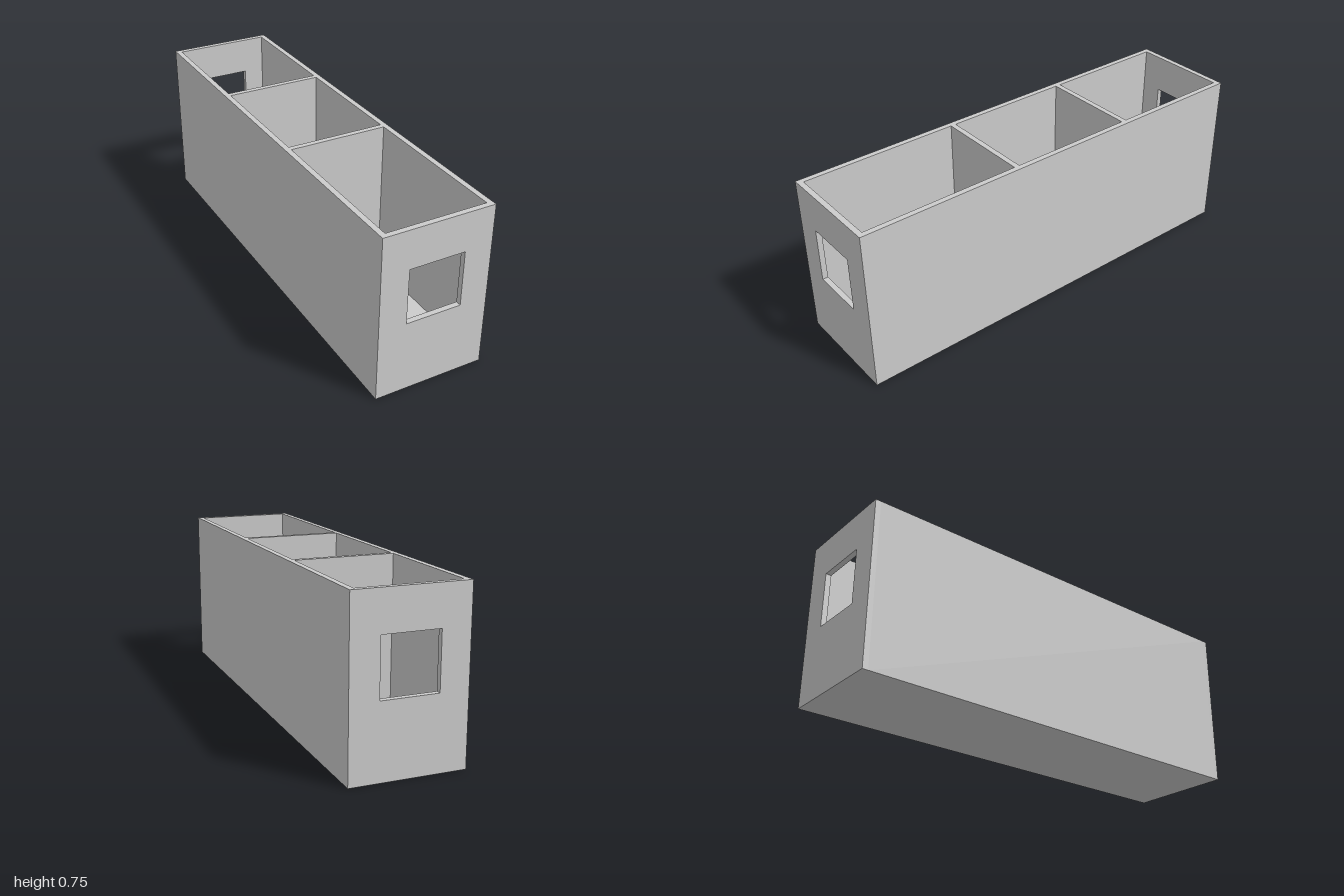
import * as THREE from 'three';

const W = 0.5, H = 0.75, L = 2, T = 0.025;

export function createModel() {
  const model = new THREE.Group();
  const material = new THREE.MeshStandardMaterial({ color: 0xcccccc });

  const add = (name, geometry, x, y, z) => {
    const mesh = new THREE.Mesh(geometry, material);
    mesh.name = name;
    mesh.position.set(x, y, z);
    model.add(mesh);
  };

  // Floor, set between the walls
  add('floor', new THREE.BoxGeometry(W - 2 * T, T, L - 2 * T), 0, T / 2, 0);

  // Long side walls
  for (const [name, side] of [['leftWall', 1], ['rightWall', -1]]) {
    add(name, new THREE.BoxGeometry(T, H, L - 2 * T), side * (W - T) / 2, H / 2, 0);
  }

  // End walls with a square window
  const wall = new THREE.Shape([
    new THREE.Vector2(-W / 2, 0), new THREE.Vector2(W / 2, 0),
    new THREE.Vector2(W / 2, H), new THREE.Vector2(-W / 2, H),
  ]);
  wall.holes.push(new THREE.Path([
    new THREE.Vector2(-0.125, 0.325), new THREE.Vector2(-0.125, 0.575),
    new THREE.Vector2(0.125, 0.575), new THREE.Vector2(0.125, 0.325),
  ]));
  const endWall = new THREE.ExtrudeGeometry(wall, { depth: T, bevelEnabled: false });
  add('frontWall', endWall, 0, 0, L / 2 - T);
  add('backWall', endWall, 0, 0, -L / 2);

  // Solid partitions: a longer front bay and two equal bays behind it
  for (const [name, z] of [['frontPartition', 0.235], ['backPartition', -0.3775]]) {
    add(name, new THREE.BoxGeometry(W - 2 * T, H - T, T), 0, (H + T) / 2, z);
  }

  return model;
}
